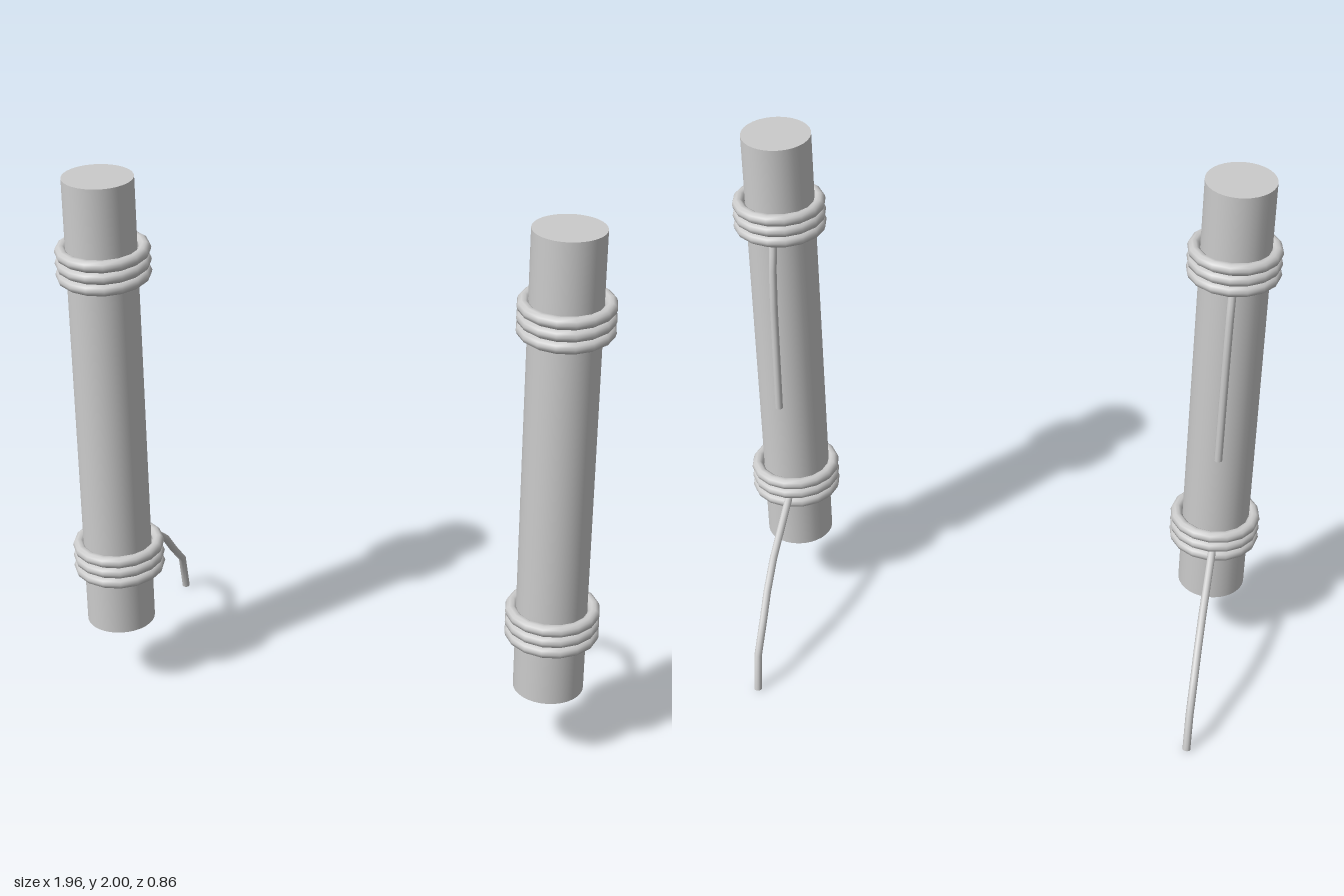
import * as THREE from 'three';

const material = new THREE.MeshStandardMaterial({ color: 0xcccccc });
const ROPE = 0.0145;

// Straight-segment path whose tube rings sit exactly on the corners
class Polyline extends THREE.Curve {
  constructor(points) {
    super();
    this.points = points;
  }
  getPoint(t, target = new THREE.Vector3()) {
    const n = this.points.length - 1;
    const i = Math.min(Math.floor(t * n), n - 1);
    return target.lerpVectors(this.points[i], this.points[i + 1], t * n - i);
  }
  getUtoTmapping(u) {
    return u;
  }
}

function addMesh(parent, name, geometry) {
  const mesh = new THREE.Mesh(geometry, material);
  mesh.name = name;
  parent.add(mesh);
  return mesh;
}

// Three stacked rope loops wound round the post
function addBinding(parent, name, y, tilt) {
  const binding = new THREE.Group();
  binding.name = name;
  for (let i = -1; i <= 1; i++) {
    const geometry = new THREE.TorusGeometry(0.145, 0.022, 10, 16);
    geometry.rotateX(Math.PI / 2 + tilt);
    addMesh(binding, 'ropeLoop', geometry).position.y = i * 0.0425;
  }
  binding.position.set(0, y, 0.265);
  parent.add(binding);
}

// Loose rope end given as [z, y] points, closed at its tip
function addRopeEnd(parent, name, profile) {
  const rope = new THREE.Group();
  rope.name = name;
  const path = new Polyline(profile.map(([z, y]) => new THREE.Vector3(-0.01, y, z)));
  addMesh(rope, 'ropeStrand', new THREE.TubeGeometry(path, profile.length - 1, ROPE, 10));
  const tip = addMesh(rope, 'ropeTip', new THREE.CircleGeometry(ROPE, 10));
  tip.position.copy(path.getPoint(1));
  tip.quaternion.setFromUnitVectors(new THREE.Vector3(0, 0, 1), path.getTangent(1));
  parent.add(rope);
}

function createBoundPost(name, x) {
  const group = new THREE.Group();
  group.name = name;
  const post = addMesh(group, 'post', new THREE.CylinderGeometry(0.124, 0.124, 1.735, 32));
  post.position.set(-0.002, 1.1325, 0.272);

  addBinding(group, 'upperBinding', 1.691, 0.04);
  addBinding(group, 'lowerBinding', 0.533, 0.02);

  addRopeEnd(group, 'hangingRope', [
    [0.143, 1.66], [0.127, 1.6], [0.111, 1.54], [0.095, 1.384], [0.077, 0.966],
  ]);
  addRopeEnd(group, 'trailingRope', [
    [0.14, 0.522], [0.116, 0.511], [-0.116, 0.405], [-0.217, 0.325],
    [-0.29, 0.24], [-0.38, 0.145], [-0.41, 0.004],
  ]);
  group.position.x = x;
  return group;
}

export function createModel() {
  const model = new THREE.Group();
  model.name = 'boundPosts';
  model.add(createBoundPost('rightPost', -0.812), createBoundPost('leftPost', 0.812));
  return model;
}
